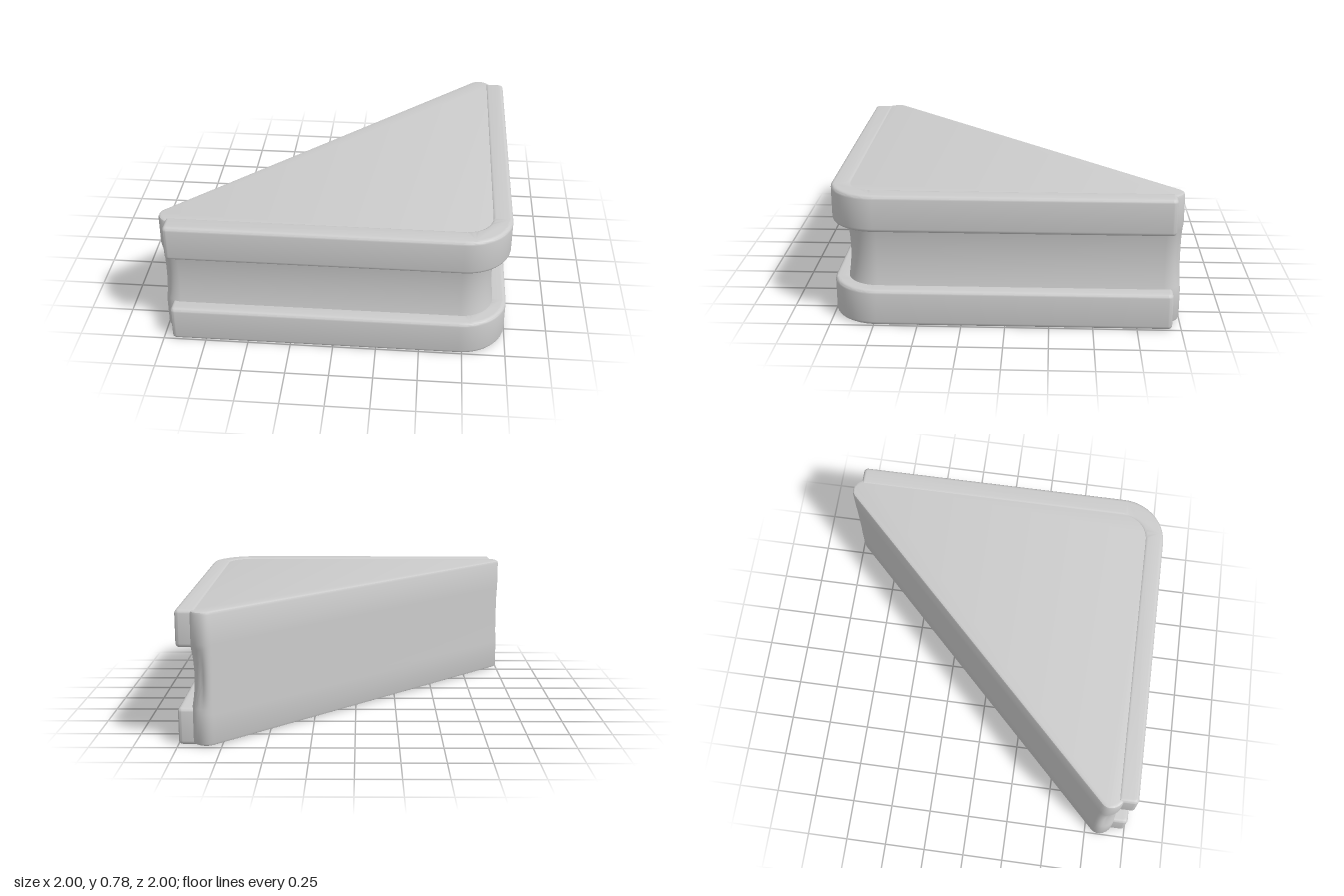
import * as THREE from 'three';
import { toCreasedNormals } from 'three/addons/utils/BufferGeometryUtils.js';

const grey = new THREE.MeshStandardMaterial({ color: 0xcccccc });

// Plans are drawn in (x, -z), counter-clockwise.
function coreOutline() {
  const s = new THREE.Shape();
  s.moveTo(-0.98, -0.79);
  s.quadraticCurveTo(-1.015, -0.83, -0.985, -0.88);
  s.quadraticCurveTo(-0.96, -0.92, -0.9, -0.925);
  s.lineTo(0.73, -0.925);
  s.absarc(0.73, -0.73, 0.195, -Math.PI / 2, 0, false);
  s.lineTo(0.925, 0.9);
  s.quadraticCurveTo(0.92, 0.96, 0.88, 0.985);
  s.quadraticCurveTo(0.83, 1.015, 0.79, 0.98);
  const pts = s.getPoints(8);
  // drop coincident points
  return pts.filter((p, i) => p.distanceTo(pts[(i + 1) % pts.length]) > 1e-4);
}

// Wedge body: the outline lofted upwards with a shallow hollow around the waist
function makeCore() {
  const outline = coreOutline();
  const n = outline.length;
  const normals = outline.map((p, i) => {
    const d = outline[(i + 1) % n].clone().sub(p).normalize()
      .add(p.clone().sub(outline[(i + n - 1) % n]).normalize()).normalize();
    return new THREE.Vector2(d.y, -d.x);
  });
  // rings: [height, edge rounding, waist hollow]
  const rings = [[0.006, 0.014, 0], [0.01, 0.005, 0], [0.022, 0, 0]];
  for (let i = 0; i <= 14; i++) {
    const t = (i / 14) * 2 - 1;
    rings.push([0.39 + t * 0.2, 0, 0.022 * (1 - t * t)]);
  }
  rings.push([0.758, 0, 0], [0.77, 0.005, 0], [0.775, 0.014, 0]);

  const pos = [], index = [];
  for (const [y, edge, hollow] of rings) {
    outline.forEach((p, i) => {
      const m = normals[i];
      // the long diagonal face stays flat
      const facing = (-m.x + m.y) * Math.SQRT1_2;
      const inset = edge + hollow * Math.min(1, 2 * (1 - facing));
      pos.push(p.x - m.x * inset, y, -(p.y - m.y * inset));
    });
  }
  for (let r = 0; r < rings.length - 1; r++) {
    for (let i = 0; i < n; i++) {
      const a = r * n + i, b = r * n + (i + 1) % n;
      index.push(a, b, b + n, a, b + n, a + n);
    }
  }
  const last = (rings.length - 1) * n;
  for (const [a, b, c] of THREE.ShapeUtils.triangulateShape(outline, [])) {
    index.push(a, c, b, last + a, last + b, last + c);
  }
  const g = new THREE.BufferGeometry();
  g.setAttribute('position', new THREE.Float32BufferAttribute(pos, 3));
  g.setIndex(index);
  return toCreasedNormals(g, 0.6);
}

// L-shaped band with a rounded corner and softened edges
function makeRail() {
  const s = new THREE.Shape();
  const end = 0.95, r = 0.03;
  s.moveTo(-end, -0.88);
  s.lineTo(-end, -1 + r);
  s.quadraticCurveTo(-end, -1, -end + r, -1);
  s.lineTo(0.73, -1);
  s.absarc(0.73, -0.73, 0.27, -Math.PI / 2, 0, false);
  s.lineTo(1, end - r);
  s.quadraticCurveTo(1, end, 1 - r, end);
  s.lineTo(0.88, end);
  s.lineTo(0.88, -0.73);
  s.absarc(0.73, -0.73, 0.15, 0, -Math.PI / 2, true);
  s.lineTo(-end, -0.88);
  const b = 0.022, height = 0.215;
  const g = new THREE.ExtrudeGeometry(s, {
    depth: height - 2 * b, bevelEnabled: true, bevelSize: b, bevelThickness: b,
    bevelOffset: -b, bevelSegments: 4, curveSegments: 10,
  });
  g.translate(0, 0, b);
  g.rotateX(-Math.PI / 2);
  return toCreasedNormals(g, 0.6);
}

export function createModel() {
  const model = new THREE.Group();
  model.name = 'cornerBlock';

  const core = new THREE.Mesh(makeCore(), grey);
  core.name = 'wedgeBody';
  model.add(core);

  const railGeometry = makeRail();
  for (const [name, y] of [['lowerRail', 0], ['upperRail', 0.565]]) {
    const rail = new THREE.Mesh(railGeometry, grey);
    rail.name = name;
    rail.position.y = y;
    model.add(rail);
  }
  return model;
}
